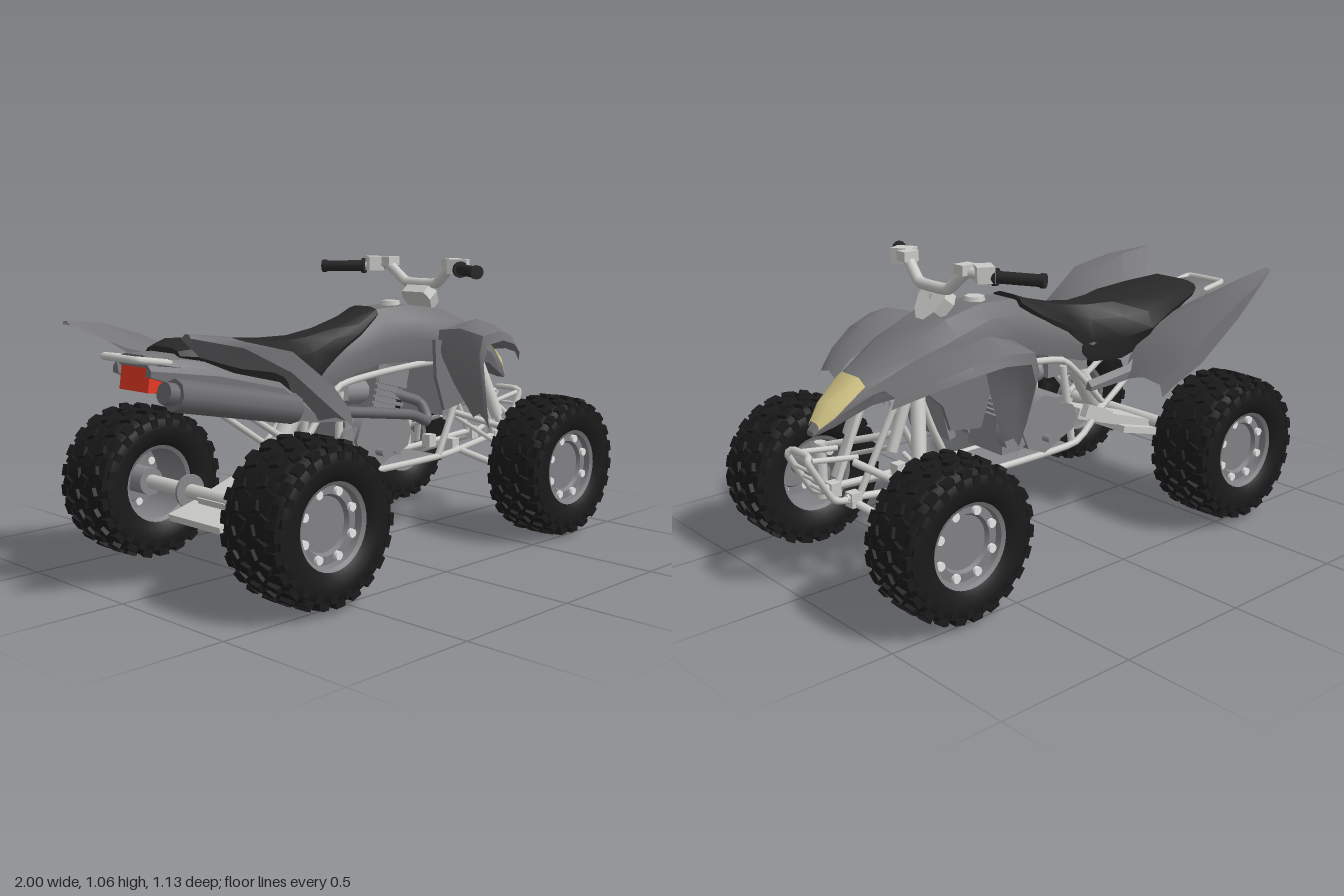
import * as THREE from 'three';
import { mergeGeometries, toCreasedNormals } from 'three/addons/utils/BufferGeometryUtils.js';

const mat = (name, color) => new THREE.MeshStandardMaterial({ name, color, side: THREE.DoubleSide });
const M = {
  body: mat('body grey', 0x757578), seat: mat('seat black', 0x282829), tyre: mat('tyre black', 0x1a1a1a),
  frame: mat('frame light grey', 0xcacac7), engine: mat('engine grey', 0x88888b), rim: mat('rim grey', 0x828286),
  bolt: mat('bolt white', 0xfafafa), lamp: mat('lamp yellow', 0xd8ca8a), tail: mat('tail red', 0xec3a24),
  muffler: mat('muffler grey', 0x6c6c6f),
};
const V = (p) => new THREE.Vector3(...p);

export function createModel() {
  const root = new THREE.Group();
  root.name = 'quadBike';

  const add = (name, geo, m, parent = root) => {
    const mesh = new THREE.Mesh(geo, m);
    mesh.name = name;
    parent.add(mesh);
    return mesh;
  };
  const box = (name, size, pos, m, tilt = 0) => {
    const b = add(name, new THREE.BoxGeometry(...size), m);
    b.position.set(...pos);
    b.rotation.z = tilt;
    return b;
  };
  // Straight bar between two points, or a bent tube through several
  const bar = (name, pts, r, m, sides = 8) => {
    if (pts.length > 2) {
      const curve = new THREE.CatmullRomCurve3(pts.map(V), false, 'catmullrom', 0.25);
      return add(name, new THREE.TubeGeometry(curve, pts.length * 6, r, sides), m);
    }
    const [a, b] = pts.map(V);
    const c = add(name, new THREE.CylinderGeometry(r, r, a.distanceTo(b), sides), m);
    c.position.copy(a).add(b).multiplyScalar(0.5);
    c.quaternion.setFromUnitVectors(new THREE.Vector3(0, 1, 0), b.sub(a).normalize());
    return c;
  };
  const disc = (name, r, len, pos, m, sides = 16) => {
    const d = add(name, new THREE.CylinderGeometry(r, r, len, sides).rotateX(Math.PI / 2), m);
    d.position.set(...pos);
    return d;
  };
  const plate = (pts, depth) => new THREE.ExtrudeGeometry(new THREE.Shape(pts.map((p) => new THREE.Vector2(...p))),
    { depth, bevelEnabled: false }).translate(0, 0, -depth / 2);
  const both = (fn) => [1, -1].forEach(fn);

  // Skin through cross-sections
  const loft = (rings, closed, crease = 0.6) => {
    const n = rings[0].length, idx = [];
    for (let i = 0; i < rings.length - 1; i++)
      for (let j = 0; j < (closed ? n : n - 1); j++) {
        const k = (j + 1) % n, a = i * n + j, b = i * n + k;
        idx.push(a, b, a + n, b, b + n, a + n);
      }
    if (closed) for (let j = 1; j < n - 1; j++) {
      const e = (rings.length - 1) * n;
      idx.push(0, j + 1, j, e, e + j, e + j + 1);
    }
    const g = new THREE.BufferGeometry();
    g.setAttribute('position', new THREE.Float32BufferAttribute(rings.flat(2), 3));
    g.setIndex(idx);
    return toCreasedNormals(g, crease);
  };
  const section = [[0.85, 0], [1, 0.4], [0.88, 0.76], [0.5, 1], [-0.5, 1], [-0.88, 0.76], [-1, 0.4], [-0.85, 0]];
  const ring = ([x, w, top, bot]) => section.map(([z, y]) => [x, bot + (top - bot) * y, z * w]);

  // Body shell from tail to nose: x, half width, top, bottom
  const bodyStations = [
    [-0.93, 0.09, 0.795, 0.757], [-0.75, 0.14, 0.79, 0.7], [-0.45, 0.15, 0.76, 0.6], [-0.2, 0.09, 0.76, 0.6],
    [0, 0.095, 0.83, 0.66], [0.12, 0.1, 0.88, 0.68], [0.28, 0.125, 0.888, 0.68], [0.45, 0.175, 0.865, 0.66],
    [0.58, 0.17, 0.81, 0.66], [0.75, 0.095, 0.73, 0.63], [0.87, 0.052, 0.65, 0.575], [0.935, 0.02, 0.565, 0.548]];
  add('bodyShell', loft(bodyStations.map(ring), true), M.body);
  // Headlight wrapping the nose, its sides tapering to a point at the back
  const lampRings = [[0.77, 0.0878, 0.7167, 0.6208], [0.87, 0.052, 0.65, 0.575], [0.918, 0.0286, 0.587, 0.556]]
    .map((s) => ring(s).slice(1, 7).map(([x, y, z]) => [x + 0.003, y + 0.004, z * 1.06]));
  lampRings[0][0] = lampRings[0][1];
  lampRings[0][5] = lampRings[0][4];
  add('headlight', loft(lampRings, false), M.lamp);

  // Seat, wide at the back with skirts at the hips
  const seatStations = [
    [-0.82, 0.09, 0.81, 0.77], [-0.76, 0.13, 0.828, 0.75], [-0.6, 0.165, 0.82, 0.7], [-0.45, 0.2, 0.805, 0.64],
    [-0.36, 0.15, 0.8, 0.59], [-0.24, 0.1, 0.802, 0.59], [-0.12, 0.092, 0.82, 0.7], [0, 0.088, 0.852, 0.77],
    [0.1, 0.078, 0.89, 0.85]];
  add('seat', loft(seatStations.map(ring), true), M.seat);
  const cap = add('fuelCap', new THREE.CylinderGeometry(0.035, 0.04, 0.02, 6), M.frame);
  cap.position.set(0.25, 0.893, 0);

  both((s) => {
    // Rear fender: x, then y and z of inner edge, crown, outer edge and lip
    const rear = [
      [-0.97, 0.865, 0.29, 0.882, 0.31, 0.88, 0.33, 0.87, 0.335],
      [-0.82, 0.79, 0.19, 0.865, 0.32, 0.855, 0.4, 0.835, 0.4],
      [-0.66, 0.745, 0.15, 0.815, 0.32, 0.815, 0.437, 0.75, 0.435],
      [-0.47, 0.69, 0.15, 0.72, 0.31, 0.69, 0.42, 0.61, 0.425],
      [-0.37, 0.6, 0.16, 0.625, 0.3, 0.6, 0.395, 0.55, 0.4],
      [-0.32, 0.53, 0.18, 0.555, 0.28, 0.545, 0.36, 0.5, 0.375]];
    add('rearFender', loft(rear.map(([x, ...q]) => [0, 2, 4, 6].map((i) => [x, q[i], s * q[i + 1]])), false), M.body);
    // Rear side panel
    const panel = [[-0.94, 0.77, 0.73, 0.1], [-0.72, 0.74, 0.65, 0.17], [-0.48, 0.68, 0.565, 0.2],
      [-0.34, 0.58, 0.53, 0.2], [-0.16, 0.545, 0.51, 0.17]];
    add('rearSidePanel', loft(panel.map(([x, t, b, z]) => [[x, t, s * (z - 0.02)], [x, t - 0.02, s * z], [x, b, s * z],
      [x, b, s * (z - 0.03)]]), true), M.body);

    // Front fender: x and y of the arch, crown rise, inner and outer z
    const front = [
      [0.37, 0.475, 0.02, 0.3, 0.365], [0.33, 0.6, 0.01, 0.22, 0.38], [0.3, 0.72, 0.01, 0.16, 0.39],
      [0.32, 0.79, 0.02, 0.12, 0.39], [0.42, 0.8, 0.04, 0.12, 0.385], [0.54, 0.775, 0.035, 0.13, 0.345],
      [0.66, 0.73, 0.02, 0.12, 0.28], [0.75, 0.685, 0.01, 0.09, 0.21]];
    add('frontFender', loft(front.map(([x, y, h, a, b]) => [
      [x + (b - a) * 0.2, y, s * a], [x, y + h, s * (a * 0.4 + b * 0.6)], [x, y, s * b], [x + 0.02, y - 0.035, s * (b + 0.005)],
    ]), false), M.body);
    // Shroud beside the radiator
    const shroud = plate([[0.31, 0.76], [0.6, 0.74], [0.62, 0.68], [0.53, 0.6], [0.5, 0.51], [0.37, 0.49], [0.32, 0.62]], 0.015);
    add('sideShroud', shroud, M.body).position.z = s * 0.165;

    // Main frame rails
    bar('lowerRail', [[-0.3, 0.42, s * 0.09], [-0.13, 0.3, s * 0.11], [0.44, 0.295, s * 0.1], [0.85, 0.33, s * 0.06]], 0.013, M.frame);
    bar('frontRail', [[0.42, 0.3, s * 0.1], [0.52, 0.5, s * 0.1], [0.6, 0.7, s * 0.1]], 0.013, M.frame);
    bar('frontBrace', [[0.8, 0.33, s * 0.065], [0.62, 0.7, s * 0.09]], 0.012, M.frame);
    bar('seatRail', [[-0.13, 0.3, s * 0.1], [-0.1, 0.6, s * 0.08]], 0.014, M.frame);
    bar('subframe', [[-0.3, 0.42, s * 0.09], [-0.1, 0.62, s * 0.08], [0.3, 0.66, s * 0.08], [0.6, 0.66, s * 0.08]], 0.013, M.frame);
    bar('rearStrut', [[-0.28, 0.4, s * 0.1], [-0.75, 0.7, s * 0.08]], 0.012, M.frame);
    box('pivotPlate', [0.14, 0.05, 0.03], [-0.25, 0.39, s * 0.11], M.frame, 0.4);

    // Front suspension arms, steering rod and shock
    for (const x of [0.55, 0.82]) {
      bar('upperArm', [[x, 0.45, s * 0.07], [0.7, 0.37, s * 0.33]], 0.013, M.frame);
      bar('lowerArm', [[x, 0.31, s * 0.06], [0.7, 0.2, s * 0.34]], 0.014, M.frame);
      box('armMount', [0.04, 0.05, 0.04], [x, 0.32, s * 0.06], M.frame);
    }
    bar('steeringRod', [[0.6, 0.42, s * 0.04], [0.6, 0.31, s * 0.33]], 0.009, M.frame);
    bar('knuckle', [[0.7, 0.18, s * 0.32], [0.7, 0.39, s * 0.32]], 0.022, M.frame);
    bar('frontHub', [[0.707, 0.275, s * 0.31], [0.707, 0.275, s * 0.45]], 0.04, M.engine, 12);
    bar('shockRod', [[0.6, 0.68, s * 0.13], [0.69, 0.28, s * 0.25]], 0.014, M.frame);
    bar('shockBody', [[0.605, 0.66, s * 0.135], [0.655, 0.44, s * 0.2]], 0.025, M.frame, 12);

    // Handlebar ends
    bar('grip', [[0.365, 1.022, s * 0.24], [0.283, 1.02, s * 0.382]], 0.021, M.seat, 12);
    bar('gripFlange', [[0.365, 1.022, s * 0.24], [0.359, 1.022, s * 0.252]], 0.03, M.seat, 12);
    bar('gripEnd', [[0.285, 1.02, s * 0.378], [0.277, 1.02, s * 0.392]], 0.025, M.seat, 12);
    box('leverClamp', [0.06, 0.055, 0.075], [0.385, 1.032, s * 0.215], M.frame).rotation.y = s * 0.5;
    box('reservoir', [0.06, 0.035, 0.045], [0.415, 1.042, s * 0.155], M.frame);
    bar('footPeg', [[0.04, 0.37, s * 0.09], [0.04, 0.37, s * 0.17]], 0.014, M.engine);

    // Wheels
    wheel('rearWheel', -0.595, 0.278, 0.437, 0.131, 0.273, s);
    wheel('frontWheel', 0.707, 0.27, 0.424, 0.114, 0.268, s);
  });

  function wheel(name, x, y, z, w, R, s) {
    const g = new THREE.Group();
    g.name = name;
    g.position.set(x, y, s * z);
    if (s < 0) g.rotation.y = Math.PI;
    root.add(g);
    const lathe = (pts) => new THREE.LatheGeometry(pts.map((p) => new THREE.Vector2(...p)), 40).rotateX(Math.PI / 2);
    const half = [[0.138, 0.8], [0.165, 0.95], [0.2, 0.985], [R - 0.045, 0.95], [R - 0.022, 0.84], [R - 0.013, 0.5]];
    const profile = [...half.map(([r, a]) => [r, -a * w]), ...half.reverse().map(([r, a]) => [r, a * w])];
    add('tyre', lathe(profile), M.tyre, g);
    // Tread blocks: axial place, axial size, length, radius, skew
    const rows = [[0.17, 0.26, 0.035, R - 0.012, 0.35], [0.53, 0.32, 0.03, R - 0.014, -0.4],
      [0.82, 0.24, 0.04, R - 0.026, 0], [0.94, 0.08, 0.028, R - 0.05, 0]];
    const blocks = [], N = 22;
    for (let i = 0; i < N; i++) rows.forEach(([a, aw, len, r, skew], k) => both((d) => {
      const b = new THREE.BoxGeometry(len, k === 3 ? 0.03 : 0.023, aw * w);
      b.rotateY(d * skew).translate(0, r, d * a * w);
      blocks.push(b.rotateZ(((i + (k % 2) * 0.5 + (d > 0 ? 0.25 : 0)) / N) * Math.PI * 2));
    }));
    add('tread', mergeGeometries(blocks), M.tyre, g);
    // Rim barrel with a flat dished face
    const rim = lathe([[0.143, -0.82 * w], [0.125, -0.75 * w], [0.122, 0.3 * w], [0.13, 0.8 * w], [0.143, 0.86 * w]]);
    add('rimBarrel', toCreasedNormals(rim, 0.5), M.rim, g);
    const face = lathe([[0.128, 0.6 * w], [0.098, 0.62 * w], [0.09, 0.5 * w], [0.0001, 0.5 * w]]);
    add('rimFace', toCreasedNormals(face, 0.5), M.rim, g);
    for (let i = 0; i < 8; i++) {
      const t = ((i + 0.5) / 8) * Math.PI * 2;
      const b = add('rimBolt', new THREE.CylinderGeometry(0.015, 0.015, 0.016, 8).rotateX(Math.PI / 2), M.bolt, g);
      b.position.set(Math.cos(t) * 0.111, Math.sin(t) * 0.111, 0.65 * w);
    }
  }

  // Handlebar and steering column
  bar('handlebar', [[0.37, 1.022, 0.24], [0.41, 1.03, 0.16], [0.425, 0.965, 0.08], [0.425, 0.96, 0],
    [0.425, 0.965, -0.08], [0.41, 1.03, -0.16], [0.37, 1.022, -0.24]], 0.02, M.frame, 10);
  bar('steeringColumn', [[0.42, 0.93, 0], [0.62, 0.42, 0]], 0.02, M.frame);
  const shield = plate([[-0.02, 0], [0.02, 0], [0.052, 0.035], [0.07, 0.09], [0.055, 0.125], [-0.055, 0.125], [-0.07, 0.09], [-0.052, 0.035]], 0.05);
  const cover = add('steeringCover', shield.rotateY(Math.PI / 2), M.frame);
  cover.position.set(0.47, 0.845, 0);
  cover.rotation.z = 0.65;

  // Engine
  box('crankcase', [0.3, 0.16, 0.19], [0.06, 0.41, 0], M.engine);
  both((s) => {
    disc('engineCover', 0.11, 0.05, [0.04, 0.42, s * 0.11], M.engine, 8);
    disc('clutchCover', 0.075, 0.04, [0.16, 0.42, s * 0.105], M.engine, 8);
    disc('sprocketCover', 0.065, 0.04, [-0.07, 0.41, s * 0.1], M.engine, 8);
  });
  for (let i = 0; i < 6; i++)
    box('coolingFin', [0.16, 0.014, 0.16], [0.145 + i * 0.007, 0.49 + i * 0.022, 0], M.engine, -0.25);
  box('cylinder', [0.13, 0.17, 0.13], [0.15, 0.54, 0], M.engine, -0.25);
  box('cylinderHead', [0.17, 0.07, 0.15], [0.185, 0.63, 0], M.engine, -0.25);
  box('airbox', [0.2, 0.12, 0.13], [-0.14, 0.62, 0], M.engine);
  bar('carburettor', [[-0.04, 0.58, 0], [0.1, 0.57, 0]], 0.045, M.engine, 10);
  box('radiator', [0.03, 0.22, 0.22], [0.47, 0.56, 0], M.engine, -0.25);
  box('skidPlate', [0.56, 0.012, 0.2], [0.16, 0.29, 0], M.engine);

  // Exhaust with silencer
  bar('exhaustPipe', [[0.2, 0.56, 0.06], [0.31, 0.52, 0.1], [0.31, 0.45, 0.14], [0.2, 0.49, 0.15], [-0.15, 0.54, 0.15],
    [-0.45, 0.59, 0.17]], 0.02, M.muffler, 10);
  bar('silencer', [[-0.42, 0.585, 0.18], [-0.93, 0.685, 0.195]], 0.052, M.muffler, 8);
  bar('silencerTip', [[-0.92, 0.685, 0.195], [-0.965, 0.695, 0.195]], 0.035, M.muffler, 12);

  // Swingarm and rear axle
  box('swingarm', [0.46, 0.04, 0.17], [-0.4, 0.325, 0], M.frame, 0.32);
  box('swingarmGuard', [0.34, 0.025, 0.27], [-0.55, 0.255, 0.01], M.frame, 0.26);
  bar('rearAxle', [[-0.595, 0.278, -0.45], [-0.595, 0.278, 0.45]], 0.026, M.frame, 12);
  both((s) => disc('rearHub', 0.05, 0.1, [-0.595, 0.278, s * 0.43], M.engine));
  disc('brakeDisc', 0.06, 0.01, [-0.595, 0.278, -0.16], M.engine, 20);
  bar('rearShock', [[-0.38, 0.33, 0], [-0.2, 0.62, 0]], 0.035, M.frame, 12);

  // Front bumper, grab bar and tail light
  bar('frontBumper', [[0.84, 0.32, 0.06], [0.9, 0.34, 0.06], [0.985, 0.48, 0.06], [0.975, 0.5, 0.045], [0.975, 0.5, -0.045],
    [0.985, 0.48, -0.06], [0.9, 0.34, -0.06], [0.84, 0.32, -0.06]], 0.012, M.frame);
  both((s) => bar('bumperStay', [[0.97, 0.485, s * 0.055], [0.8, 0.46, s * 0.06]], 0.01, M.frame));
  for (let i = 0; i < 3; i++)
    bar('bumperRung', [[0.91 + i * 0.025, 0.36 + i * 0.04, -0.06], [0.91 + i * 0.025, 0.36 + i * 0.04, 0.06]], 0.007, M.frame);
  bar('grabBar', [[-0.78, 0.755, 0.09], [-0.97, 0.785, 0.09], [-0.988, 0.787, 0.07], [-0.988, 0.787, -0.07],
    [-0.97, 0.785, -0.09], [-0.78, 0.755, -0.09]], 0.012, M.frame);
  box('tailLight', [0.06, 0.08, 0.15], [-0.9, 0.714, 0], M.tail, -0.15);

  return root;
}
